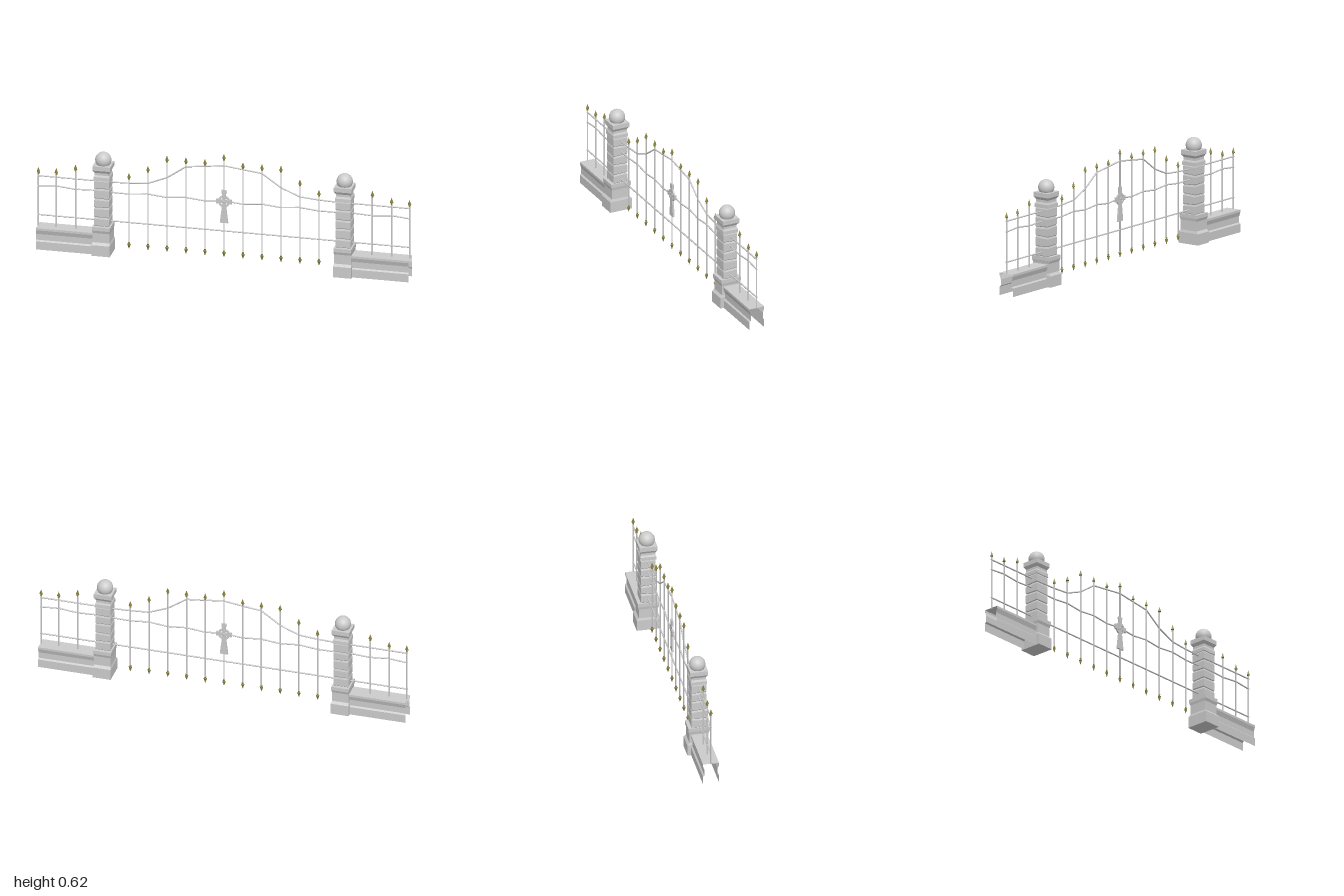
import * as THREE from 'three';

const stone = new THREE.MeshStandardMaterial({ color: 0xcccccc, flatShading: true, side: THREE.DoubleSide });
const iron = new THREE.MeshStandardMaterial({ color: 0xcccccc });
const gold = new THREE.MeshStandardMaterial({ color: 0x8a8440, flatShading: true });

const PILLAR_X = 0.648, STEP = 0.102, ROD = 0.004;

function add(parent, name, geometry, material) {
  const mesh = new THREE.Mesh(geometry, material);
  mesh.name = name;
  parent.add(mesh);
  return mesh;
}

// Stacks rectangular rings [y, halfX, halfZ, tilt] into a closed solid
function stack(layers) {
  const corners = [[1, 1], [1, -1], [-1, -1], [-1, 1]];
  const pos = [], idx = [];
  for (const [y, hx, hz, tilt = 0] of layers)
    for (const [sx, sz] of corners) pos.push(sx * hx, y + tilt * (sz + 0.6 * sx), sz * hz);
  for (let i = 0; i < layers.length - 1; i++)
    for (let k = 0; k < 4; k++) {
      const a = i * 4 + k, b = i * 4 + (k + 1) % 4;
      idx.push(a, b, b + 4, a, b + 4, a + 4);
    }
  const t = (layers.length - 1) * 4;
  idx.push(0, 2, 1, 0, 3, 2, t, t + 1, t + 2, t, t + 2, t + 3);
  const g = new THREE.BufferGeometry();
  g.setAttribute('position', new THREE.Float32BufferAttribute(pos, 3));
  g.setIndex(idx);
  const flat = g.toNonIndexed();
  flat.computeVertexNormals();
  return flat;
}

// Round bar between points, with a ball at each bend
function rail(parent, name, points) {
  const group = new THREE.Group();
  group.name = name;
  const up = new THREE.Vector3(0, 1, 0);
  const pts = points.map(([x, y]) => new THREE.Vector3(x, y, 0));
  pts.slice(1).forEach((p, i) => {
    const d = p.clone().sub(pts[i]);
    const bar = add(group, 'railBar', new THREE.CylinderGeometry(ROD, ROD, d.length(), 8), iron);
    bar.position.copy(p).add(pts[i]).multiplyScalar(0.5);
    bar.quaternion.setFromUnitVectors(up, d.normalize());
    if (i > 0) add(group, 'railBend', new THREE.SphereGeometry(ROD, 8, 6), iron).position.copy(pts[i]);
  });
  parent.add(group);
}

// Four-sided spear head, base at the origin and tip upwards
const spearGeometry = new THREE.LatheGeometry(
  [[0, 0], [0.006, 0], [0.004, 0.006], [0.010, 0.010], [0.005, 0.024], [0, 0.038]]
    .map(([r, y]) => new THREE.Vector2(r, y)), 4);

// Upright rod with a spear on top, and optionally one pointing down
function picket(parent, x, bottom, top, pointedBelow) {
  const group = new THREE.Group();
  group.name = 'picket';
  group.position.x = x;
  const y0 = pointedBelow ? bottom + 0.036 : bottom, y1 = top - 0.036;
  add(group, 'rod', new THREE.CylinderGeometry(ROD, ROD, y1 - y0, 8), iron).position.y = (y0 + y1) / 2;
  add(group, 'spearHead', spearGeometry, gold).position.y = y1;
  if (pointedBelow) {
    const low = add(group, 'lowerSpearHead', spearGeometry, gold);
    low.position.y = y0;
    low.rotation.x = Math.PI;
  }
  parent.add(group);
}

function createPillar() {
  const group = new THREE.Group();
  group.name = 'pillar';
  add(group, 'pillarBase', stack([
    [0, 0.049, 0.063], [0.06, 0.049, 0.063], [0.073, 0.045, 0.0515], [0.125, 0.045, 0.0515],
    [0.14, 0.048, 0.057], [0.16, 0.048, 0.057]]), stone);
  // Rough stone courses with slanted joints
  const course = 0.0525;
  for (let i = 0; i < 5; i++) {
    const y = 0.159 + i * course, t = i % 2 ? 0.0018 : -0.0018;
    const under = i ? -t : 0, over = i < 4 ? t : 0;
    add(group, 'stoneCourse', stack([
      [y, 0.038, 0.037, under], [y + 0.004, 0.041, 0.0395, under],
      [y + course - 0.01, 0.041, 0.0395, over], [y + course, 0.037, 0.036, over]]), stone);
  }
  add(group, 'capital', stack([
    [0.418, 0.043, 0.044], [0.437, 0.043, 0.043], [0.447, 0.038, 0.038], [0.46, 0.038, 0.038],
    [0.474, 0.047, 0.047], [0.475, 0.048, 0.048], [0.499, 0.048, 0.048]]), stone);
  add(group, 'ballFinial', new THREE.SphereGeometry(0.0425, 32, 20), iron).position.y = 0.522;
  return group;
}

// Low wall: an open shell following a moulded profile
function createWall() {
  const half = [[0.043, 0], [0.043, 0.045], [0.035, 0.052], [0.035, 0.085], [0.043, 0.108], [0.043, 0.12]];
  const ring = [...half, ...half.slice().reverse().map(([z, y]) => [-z, y])];
  const pos = [], idx = [];
  for (const [z, y] of ring) pos.push(0.68, y, z, 1, y, z);
  for (let i = 0; i < ring.length - 1; i++) {
    const a = i * 2;
    idx.push(a, a + 1, a + 3, a, a + 3, a + 2);
  }
  const g = new THREE.BufferGeometry();
  g.setAttribute('position', new THREE.Float32BufferAttribute(pos, 3));
  g.setIndex(idx);
  const flat = g.toNonIndexed();
  flat.computeVertexNormals();
  return flat;
}

// Ringed cross with flared arms and a long foot
function createCross() {
  const group = new THREE.Group();
  group.name = 'ringedCross';
  const extrude = (shape, depth) => new THREE.ExtrudeGeometry(shape, { depth, bevelEnabled: false, curveSegments: 24 })
    .translate(0, 0, -depth / 2);
  const arm = (length, tip) => extrude(new THREE.Shape([
    [-0.007, 0], [0.007, 0], [tip, length], [-tip, length]].map(([x, y]) => new THREE.Vector2(x, y))), 0.01);
  [[0.042, 0.013], [0.064, 0.013], [0.042, 0.013], [0.12, 0.022]].forEach(([length, tip], i) => {
    add(group, 'crossArm', arm(length, tip), stone).rotation.z = (i - 1) * Math.PI / 2;
  });
  const ring = new THREE.Shape().absarc(0, 0, 0.032, 0, Math.PI * 2);
  ring.holes.push(new THREE.Path().absarc(0, 0, 0.022, 0, Math.PI * 2, true));
  add(group, 'crossRing', extrude(ring, 0.008), stone);
  add(group, 'crossBoss', new THREE.SphereGeometry(0.009, 16, 10), iron).scale.z = 0.8;
  group.position.y = 0.347;
  return group;
}

export function createModel() {
  const model = new THREE.Group();
  model.name = 'gateAndFence';

  for (const s of [1, -1]) {
    const pillar = createPillar();
    pillar.position.x = s * PILLAR_X;
    model.add(pillar);

    // Mirrored by a half turn, as the wall is symmetrical front to back
    add(model, 'lowWall', createWall(), stone).rotation.y = s > 0 ? 0 : Math.PI;

    // Side fence
    [[0.797, 0.48], [0.9, 0.45], [0.996, 0.447]].forEach(([x, top]) => picket(model, s * x, 0.118, top, false));
    rail(model, 'fenceTopRail', [[s * PILLAR_X, 0.4], [s, 0.4]]);
    rail(model, 'fenceMiddleRail', [[s * PILLAR_X, 0.348], [s * 0.797, 0.341], [s * 0.9, 0.351], [s, 0.342]]);
    rail(model, 'fenceLowerRail', [[s * PILLAR_X, 0.181], [s, 0.181]]);
  }

  // Gate pickets
  const tops = [0.614, 0.576, 0.576, 0.576, 0.508, 0.459];
  for (let i = -5; i <= 5; i++) picket(model, i * STEP, 0.033, tops[Math.abs(i)], true);

  // Gate rails: arched top, gently waved middle, straight bottom
  const arch = [0.549, 0.536, 0.524, 0.453, 0.411, 0.403];
  const topPath = [[-PILLAR_X, 0.398]], wavePath = [[-PILLAR_X, 0.343]];
  for (let i = -5; i <= 5; i++) {
    topPath.push([i * STEP, arch[Math.abs(i)]]);
    wavePath.push([i * STEP, i % 2 ? 0.341 : 0.351]);
  }
  topPath.push([PILLAR_X, 0.398]);
  wavePath.push([PILLAR_X, 0.343]);
  rail(model, 'gateTopRail', topPath);
  rail(model, 'gateMiddleRail', wavePath);
  rail(model, 'gateLowerRail', [[-PILLAR_X, 0.181], [PILLAR_X, 0.181]]);

  model.add(createCross());
  return model;
}
